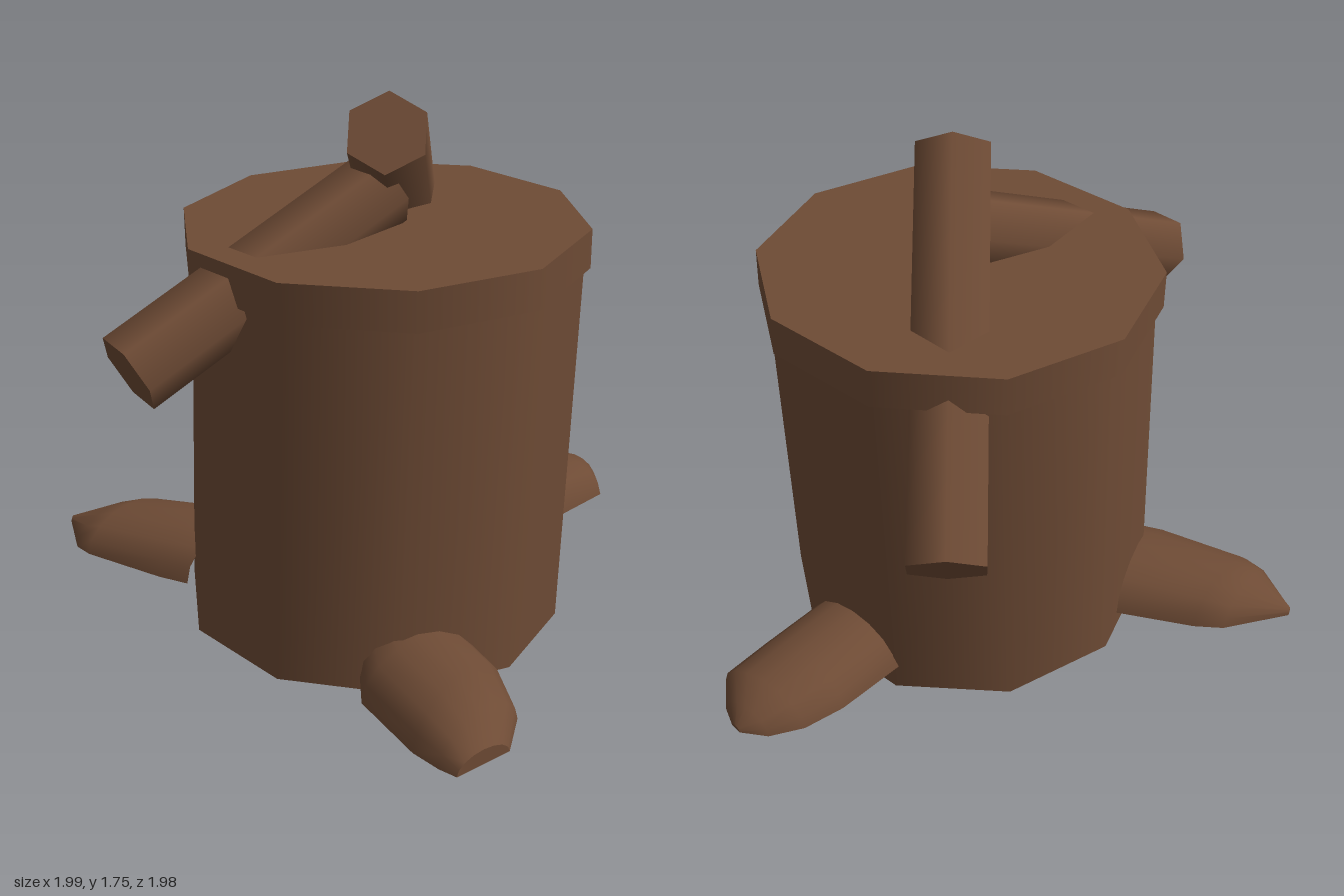
import * as THREE from 'three';

const bark = new THREE.MeshStandardMaterial({ color: 0x6e4b35 });
bark.name = 'bark brown';

function addMesh(group, name, geometry) {
  const mesh = new THREE.Mesh(geometry, bark);
  mesh.name = name;
  group.add(mesh);
  return mesh;
}

// Hexagonal log between two points; corner sets the direction of one of its edges
function addLog(group, name, from, to, radius, corner) {
  const a = new THREE.Vector3(...from), b = new THREE.Vector3(...to);
  const axis = b.clone().sub(a);
  const length = axis.length();
  axis.normalize();
  const z = new THREE.Vector3(...corner);
  z.addScaledVector(axis, -z.dot(axis)).normalize();
  const x = new THREE.Vector3().crossVectors(axis, z);
  const log = addMesh(group, name, new THREE.CylinderGeometry(radius, radius, length, 6));
  log.quaternion.setFromRotationMatrix(new THREE.Matrix4().makeBasis(x, axis, z));
  log.position.copy(a).add(b).multiplyScalar(0.5);
}

// Domed root with a flat underside: sections run outwards as [left xz, right xz, height]
function rootGeometry(sections, base = 0.1, steps = 8) {
  const pos = [], idx = [], row = steps + 1, last = sections.length - 1;
  const section = ([l, r, h]) => {
    for (let j = 0; j <= steps; j++) {
      const angle = Math.PI * j / steps, t = (1 - Math.cos(angle)) / 2;
      pos.push(l[0] + (r[0] - l[0]) * t, base + h * Math.sin(angle), l[1] + (r[1] - l[1]) * t);
    }
  };
  sections.forEach(section);
  for (let i = 0; i < last; i++) {
    for (let j = 0; j < steps; j++) {
      const a = i * row + j, b = a + row;
      idx.push(a, a + 1, b, a + 1, b + 1, b);
    }
  }
  // blunt tip
  const tip = pos.length / 3;
  section(sections[last]);
  for (let j = 1; j < steps; j++) idx.push(tip, tip + j, tip + j + 1);
  // underside
  const under = pos.length / 3;
  sections.forEach(([l, r]) => pos.push(l[0], base, l[1], r[0], base, r[1]));
  for (let i = 0; i < last; i++) {
    const a = under + i * 2;
    idx.push(a, a + 2, a + 1, a + 1, a + 2, a + 3);
  }
  const geometry = new THREE.BufferGeometry();
  geometry.setAttribute('position', new THREE.Float32BufferAttribute(pos, 3));
  geometry.setIndex(idx);
  geometry.computeVertexNormals();
  return geometry;
}

export function createModel() {
  const model = new THREE.Group();
  model.name = 'treeStump';

  // leaning ten-sided trunk
  const trunk = addMesh(model, 'trunk', new THREE.CylinderGeometry(0.615, 0.615, 1.22, 10).translate(0, 0.61, 0));
  trunk.position.set(-0.13, 0.036, 0.035);
  trunk.rotation.z = -0.052;

  // level rim on top
  addMesh(model, 'topRim', new THREE.CylinderGeometry(0.637, 0.637, 0.125, 10)).position.set(-0.065, 1.278, 0.03);

  // branches pushed through the trunk
  addLog(model, 'longBranch', [0.625, 0.875, -0.54], [-0.155, 1.648, 0.135], 0.132, [-0.058, -0.11, 0.05]);
  addLog(model, 'sideBranch', [-0.95, 1.05, -0.105], [-0.08, 1.45, 0.045], 0.125, [0, 0, 1]);

  // roots spreading from the base
  const roots = {
    leftRoot: [
      [[0.35, -0.17], [0.35, 0.21], 0.145],
      [[0.7, -0.16], [0.7, 0.21], 0.132],
      [[0.84, -0.13], [0.87, 0.21], 0.108],
      [[0.94, -0.07], [0.95, 0.12], 0.07],
      [[0.99, 0.01], [0.985, 0.05], 0.015],
    ],
    backRoot: [
      [[-0.6, -0.36], [-0.15, -0.42], 0.145],
      [[-0.64, -0.46], [-0.23, -0.55], 0.145],
      [[-0.72, -0.75], [-0.35, -0.78], 0.12],
      [[-0.72, -0.82], [-0.41, -0.86], 0.09],
      [[-0.635, -0.98], [-0.61, -0.99], 0.02],
    ],
    frontRoot: [
      [[-0.2, 0.4], [-0.5, 0.36], 0.145],
      [[-0.24, 0.6], [-0.65, 0.53], 0.148],
      [[-0.28, 0.74], [-0.71, 0.8], 0.142],
      [[-0.38, 0.9], [-0.71, 0.9], 0.11],
      [[-0.51, 0.985], [-0.7, 0.96], 0.05],
    ],
  };
  for (const [name, sections] of Object.entries(roots)) addMesh(model, name, rootGeometry(sections));

  return model;
}
